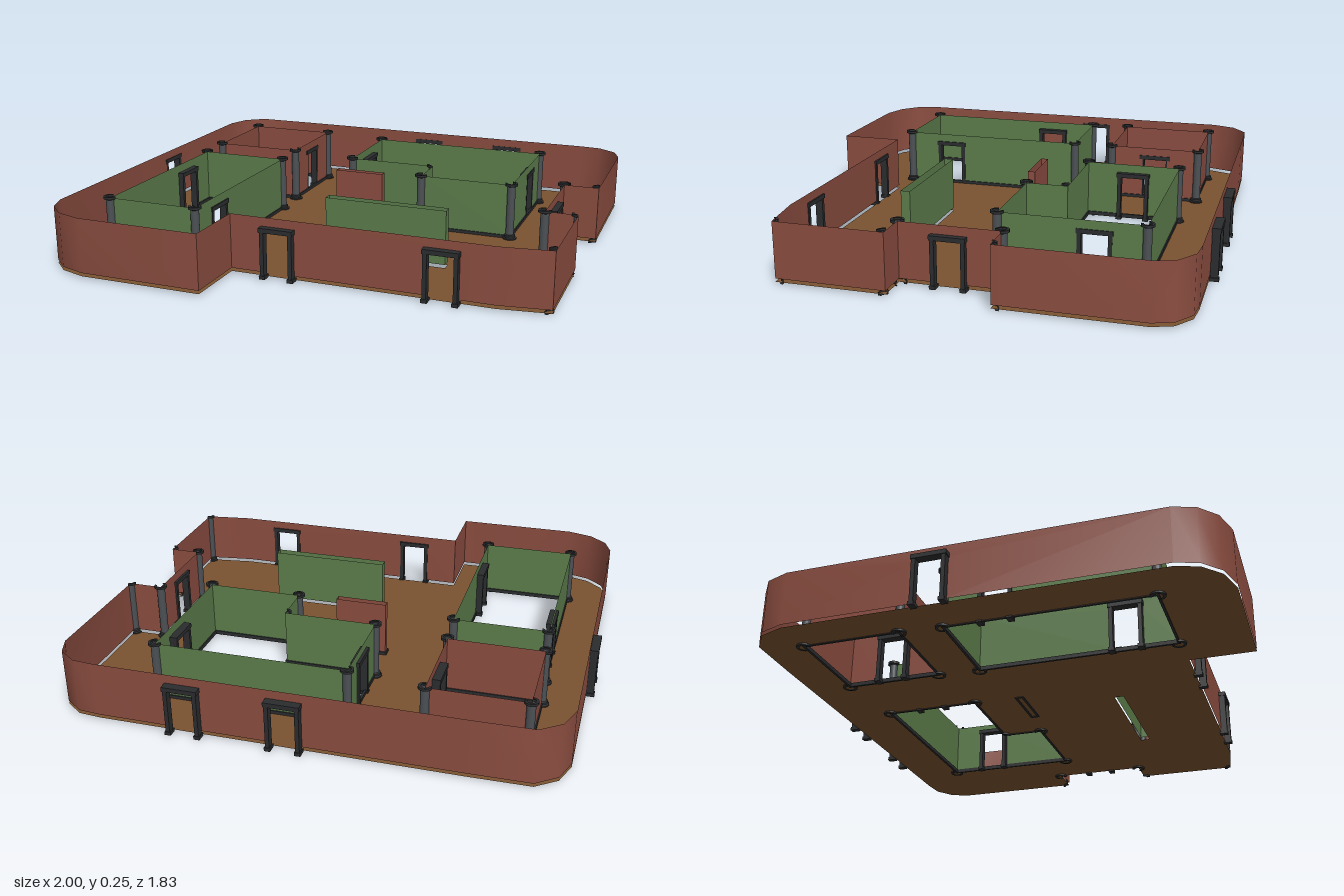
import * as THREE from 'three';
import { mergeGeometries, toCreasedNormals } from 'three/addons/utils/BufferGeometryUtils.js';

const WALL_BOTTOM = 0.02, WALL_TOP = 0.24, DOOR_TOP = 0.19, DOOR_HALF = 0.055;

// plan outlines as [x, z]
const outline = [
  [-0.967, -0.725], [-0.933, -0.822], [-0.853, -0.882], [-0.623, -0.886], [0.803, -0.886], [0.893, -0.878],
  [0.968, -0.826], [0.998, -0.748], [0.998, -0.198], [0.856, -0.198], [0.856, 0.196], [0.984, 0.196],
  [0.984, 0.628], [0.788, 0.656], [-0.256, 0.654], [-0.256, 0.914], [-0.763, 0.914], [-0.868, 0.882],
  [-0.938, 0.818], [-0.968, 0.732],
];
const rect = (x0, z0, x1, z1) => [[x0, z0], [x1, z0], [x1, z1], [x0, z1]];
const backRoom = rect(-0.808, -0.715, -0.425, -0.325);
const sideRoom = rect(-0.797, -0.155, -0.414, 0.644);
const cornerRoom = [[-0.122, -0.675], [0.653, -0.675], [0.653, -0.115], [0.259, -0.115], [0.259, -0.286], [-0.122, -0.286]];
const longPartition = rect(0.002, 0.29, 0.503, 0.328);
const shortPartition = rect(-0.117, -0.105, 0.096, -0.076);

// door centres: x, z, and whether the door runs along x
const doors = [
  [0.053, -0.902, true], [0.447, -0.902, true], [-0.057, 0.664, true], [0.587, 0.667, true],
  [-0.982, -0.137, false], [0.863, 0.002, false], [-0.44, -0.523, false], [-0.116, -0.482, false],
  [0.639, -0.482, false], [-0.79, 0.045, false], [-0.426, 0.445, false],
];

// pillars: x, z, first quadrant, number of quadrants standing on the floor
const pillars = [
  [-0.808, -0.715, 1, 3], [-0.425, -0.715, 0, 3], [-0.425, -0.325, 3, 3], [-0.808, -0.325, 2, 3],
  [-0.797, -0.155, 1, 3], [-0.414, -0.155, 0, 3], [-0.414, 0.644, 3, 3], [-0.797, 0.644, 2, 3],
  [-0.122, -0.675, 1, 3], [0.653, -0.675, 0, 3], [0.653, -0.115, 3, 3], [0.259, -0.115, 2, 3],
  [-0.122, -0.286, 2, 3], [0.259, -0.286, 3, 1],
  [0.856, -0.198, 1, 3], [0.856, 0.196, 2, 3], [0.998, -0.198, 2, 1], [0.984, 0.196, 3, 1], [0.984, 0.628, 2, 1],
];

const edges = (path) => path.map((a, i) => {
  const b = path[(i + 1) % path.length];
  const dx = b[0] - a[0], dz = b[1] - a[1], length = Math.hypot(dx, dz);
  return { a, b, length, ux: dx / length, uz: dz / length };
});

// closed run of thin walls with doorways cut out
function wallGeometry(path) {
  const panels = edges(path).map(({ a, length, ux, uz }) => {
    const cuts = doors.map(([x, z]) => {
      const px = x - a[0], pz = z - a[1];
      return { t: px * ux + pz * uz, off: Math.abs(px * uz - pz * ux) };
    }).filter((d) => d.off < 0.03 && d.t > 0.06 && d.t < length - 0.06).sort((p, q) => p.t - q.t);
    const shape = new THREE.Shape();
    shape.moveTo(0, WALL_BOTTOM);
    for (const { t } of cuts) {
      shape.lineTo(t - DOOR_HALF, WALL_BOTTOM);
      shape.lineTo(t - DOOR_HALF, DOOR_TOP);
      shape.lineTo(t + DOOR_HALF, DOOR_TOP);
      shape.lineTo(t + DOOR_HALF, WALL_BOTTOM);
    }
    shape.lineTo(length, WALL_BOTTOM);
    shape.lineTo(length, WALL_TOP);
    shape.lineTo(0, WALL_TOP);
    const place = new THREE.Matrix4().makeBasis(
      new THREE.Vector3(ux, 0, uz), new THREE.Vector3(0, 1, 0), new THREE.Vector3(-uz, 0, ux));
    place.setPosition(a[0], 0, a[1]);
    return new THREE.ShapeGeometry(shape).applyMatrix4(place);
  });
  return toCreasedNormals(mergeGeometries(panels), 0.75);
}

// low bars along the foot of a room
function skirtingGeometry(path) {
  return mergeGeometries(edges(path).map(({ a, b, length, ux, uz }) =>
    new THREE.BoxGeometry(length + 0.01, 0.016, 0.01)
      .rotateY(-Math.atan2(uz, ux))
      .translate((a[0] + b[0]) / 2, 0.012, (a[1] + b[1]) / 2)));
}

export function createModel() {
  const model = new THREE.Group();
  model.name = 'floorPlan';
  const paint = (name, color) => {
    const m = new THREE.MeshStandardMaterial({ color, side: THREE.DoubleSide });
    m.name = name;
    return m;
  };
  const brown = paint('brown floor', 0x7a5230);
  const red = paint('brick red', 0x8b4d40);
  const green = paint('green', 0x5c7d4b);
  const black = paint('black trim', 0x2b2c2e);
  const grey = paint('grey column', 0x4b5054);
  const add = (parent, name, geometry, material) => {
    const mesh = new THREE.Mesh(geometry, material);
    mesh.name = name;
    parent.add(mesh);
    return mesh;
  };

  // floor sheet, open under the rooms and the long partition
  const flat = (path) => path.map(([x, z]) => new THREE.Vector2(x, -z));
  const floorShape = new THREE.Shape(flat(outline));
  for (const hole of [backRoom, sideRoom, cornerRoom, longPartition]) floorShape.holes.push(new THREE.Path(flat(hole)));
  add(model, 'floor', new THREE.ShapeGeometry(floorShape).rotateX(-Math.PI / 2).translate(0, 0.007, 0), brown);

  // walls
  add(model, 'outerWall', wallGeometry(outline), red);
  add(model, 'backRoomWall', wallGeometry(backRoom), red);
  add(model, 'shortPartition', wallGeometry(shortPartition), red);
  add(model, 'sideRoomWall', wallGeometry(sideRoom), green);
  add(model, 'cornerRoomWall', wallGeometry(cornerRoom), green);
  add(model, 'longPartition', wallGeometry(longPartition), green);
  for (const path of [backRoom, sideRoom, cornerRoom, shortPartition]) add(model, 'skirting', skirtingGeometry(path), black);

  // door frames: two legs with feet and a lintel
  const box = (w, h, d, x, y) => new THREE.BoxGeometry(w, h, d).translate(x, y, 0);
  const frame = mergeGeometries([
    box(0.016, 0.19, 0.03, -0.058, 0.095), box(0.016, 0.19, 0.03, 0.058, 0.095),
    box(0.024, 0.014, 0.036, -0.058, 0.007), box(0.024, 0.014, 0.036, 0.058, 0.007),
    box(0.138, 0.018, 0.036, 0, 0.196),
  ]);
  for (const [x, z, alongX] of doors) {
    const door = add(model, 'doorFrame', frame, black);
    door.position.set(x, 0, z);
    if (!alongX) door.rotation.y = Math.PI / 2;
  }

  // part-round hollow pillars wrapping the wall corners
  const turn = (points, start, count) => toCreasedNormals(new THREE.LatheGeometry(
    points.map(([r, y]) => new THREE.Vector2(r, y)), 5 * count, start * Math.PI / 2, count * Math.PI / 2), 0.6);
  for (const [x, z, start, count] of pillars) {
    const pillar = new THREE.Group();
    pillar.name = 'pillar';
    pillar.position.set(x, 0, z);
    add(pillar, 'pillarBase', turn([[0.017, 0], [0.029, 0], [0.029, 0.012], [0.023, 0.015], [0.023, 0.024], [0.017, 0.027]], start, count), black);
    add(pillar, 'pillarShaft', turn([[0.017, 0.025], [0.017, 0.238]], start, count), grey);
    add(pillar, 'pillarCap', turn([[0.017, 0.234], [0.026, 0.238], [0.026, 0.248], [0.016, 0.248]], start, count), black);
    model.add(pillar);
  }
  return model;
}
